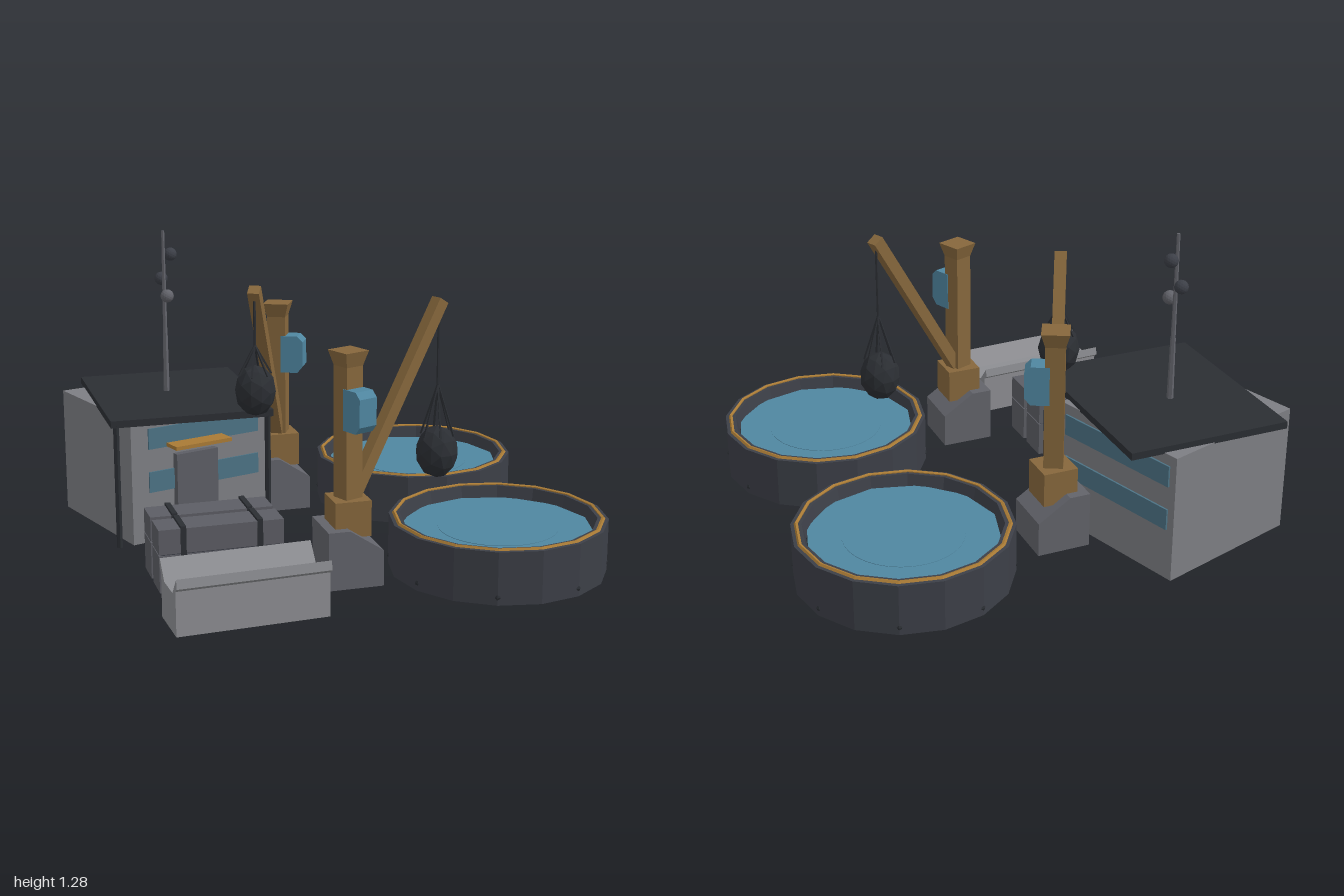
import * as THREE from 'three';

const mat = (color) => new THREE.MeshStandardMaterial({ color, flatShading: true });
const M = {
  dark: mat(0x3c3f47), black: mat(0x2b2e33), wall: mat(0x7d7e83), stone: mat(0x62636a),
  crate: mat(0x5c5d64), pale: mat(0x8d8e92), wood: mat(0x86673c), gold: mat(0xa87a35),
  blue: mat(0x4f86a0), glass: mat(0x4c7284),
};

function add(parent, name, geo, material, x = 0, y = 0, z = 0) {
  const m = new THREE.Mesh(geo, material);
  m.name = name;
  m.position.set(x, y, z);
  parent.add(m);
  return m;
}
const box = (w, h, d) => new THREE.BoxGeometry(w, h, d);
const cyl = (r1, r2, h, n) => new THREE.CylinderGeometry(r1, r2, h, n);

function group(parent, name, x, z, turn = 0) {
  const g = new THREE.Group();
  g.name = name;
  g.position.set(x, 0, z);
  g.rotation.y = turn;
  parent.add(g);
  return g;
}

// Outline extruded along z and centred on it
function prism(points, depth) {
  const shape = new THREE.Shape(points.map(([x, y]) => new THREE.Vector2(x, y)));
  return new THREE.ExtrudeGeometry(shape, { depth, bevelEnabled: false }).translate(0, 0, -depth / 2);
}

// Square bar between two points
function bar(parent, name, a, b, w, material) {
  const p = new THREE.Vector3(...a), q = new THREE.Vector3(...b);
  const m = new THREE.Mesh(box(w, w, p.distanceTo(q)), material);
  m.name = name;
  m.position.copy(p).lerp(q, 0.5);
  m.lookAt(q);
  parent.add(m);
}

function pool(parent, x, z) {
  const g = group(parent, 'pool', x, z);
  const profile = [[0, 0], [0.445, 0], [0.445, 0.215], [0.4, 0.218], [0.385, 0.15]];
  add(g, 'poolWall', new THREE.LatheGeometry(profile.map(([r, y]) => new THREE.Vector2(r, y)), 16), M.dark);
  add(g, 'water', cyl(0.39, 0.39, 0.02, 12), M.blue, 0, 0.16, 0);
  add(g, 'waterCentre', cyl(0.245, 0.245, 0.003, 32), M.blue, 0, 0.1705, 0);
  add(g, 'rimBand', new THREE.TorusGeometry(0.422, 0.009, 5, 16).rotateX(Math.PI / 2).rotateY(0), M.gold, 0, 0.216, 0);
  for (let i = 0; i < 8; i++) {
    const a = ((i + 0.5) / 8) * Math.PI * 2;
    add(g, 'drain', new THREE.SphereGeometry(0.014, 6, 4), M.black, Math.sin(a) * 0.436, 0.032, Math.cos(a) * 0.436);
  }
}

function crane(parent, z, hook, side, bagY, knotY) {
  const g = group(parent, 'crane', -0.087, z);
  // Chamfered footing and pedestal
  add(g, 'footing', prism([[-0.113, 0.013], [0.113, 0.013], [0.113, 0.16], [-0.025, 0.25], [-0.113, 0.25]], 0.225), M.stone);
  add(g, 'pedestal', box(0.148, 0.145, 0.148), M.wood, 0, 0.283, 0);

  // Turning upper part, boom along local z
  const dx = hook[0] + 0.087, dz = hook[1] - z, reach = Math.hypot(dx, dz);
  const top = group(g, 'craneTop', 0, 0, Math.atan2(dx, dz));
  add(top, 'post', box(0.08, 0.56, 0.08), M.wood, 0, 0.63, 0);
  const flare = cyl(0.113 / Math.SQRT2, 0.08 / Math.SQRT2, 0.06, 4).rotateY(Math.PI / 4);
  add(top, 'postCap', flare, M.wood, 0, 0.915, 0);
  bar(top, 'boom', [0, 0.36, 0.025], [0, 1.085, reach + 0.005], 0.05, M.wood);
  const cab = prism([[0, 0.635], [0.075, 0.635], [0.1, 0.665], [0.1, 0.775], [0.075, 0.8], [0, 0.8]], 0.085);
  if (side < 0) cab.rotateY(Math.PI);
  add(top, 'cab', cab, M.blue, side * 0.02, 0, 0);

  // Cable, slings and hanging load
  add(top, 'cable', cyl(0.006, 0.006, 1.08 - knotY, 5), M.black, 0, (1.08 + knotY) / 2, reach);
  for (let i = 0; i < 6; i++) {
    const a = (i / 6) * Math.PI * 2;
    bar(top, 'sling', [0, knotY, reach],
      [Math.sin(a) * 0.07, bagY + 0.07, reach + Math.cos(a) * 0.07], 0.007, M.black);
  }
  const load = add(top, 'load', new THREE.IcosahedronGeometry(1, 1), M.black, 0, bagY, reach);
  load.scale.set(0.088, 0.11, 0.088);
}

function house(parent) {
  const g = group(parent, 'house', -0.604, -0.567, 0.305);
  add(g, 'walls', box(0.66, 0.545, 0.645), M.wall, 0, 0.2725, 0);
  for (const y of [0.265, 0.455]) {
    add(g, 'frontWindow', box(0.54, 0.09, 0.016), M.glass, 0.02, y, 0.322);
    add(g, 'sideWindow', box(0.016, 0.09, 0.58), M.glass, 0.33, y, 0);
  }
  add(g, 'door', box(0.2, 0.375, 0.05), M.crate, -0.03, 0.1875, 0.33);
  add(g, 'awning', box(0.27, 0.016, 0.1), M.gold, -0.03, 0.42, 0.365);
  add(g, 'doorStep', box(0.26, 0.04, 0.19), M.wall, -0.06, 0.02, 0.4);

  // Overhanging roof with its two props
  const r = group(parent, 'roofing', -0.57, -0.498);
  add(r, 'roof', box(0.69, 0.03, 0.825), M.black, 0, 0.555, 0);
  for (const s of [-1, 1]) add(r, 'roofProp', cyl(0.013, 0.013, 0.53, 6), M.black, s * 0.322, 0.285, 0.4);

  // Mast with three beacons
  const m = group(parent, 'mast', -0.59, -0.543);
  add(m, 'mastLower', cyl(0.011, 0.014, 0.27, 6), M.stone, 0, 0.7, 0);
  add(m, 'mastUpper', cyl(0.007, 0.01, 0.46, 6), M.stone, 0, 1.05, 0);
  const balls = [[0.032, 1.175, -0.01, M.dark], [-0.006, 1.067, -0.033, M.dark], [0.006, 1.0, 0.033, M.stone]];
  for (const [x, y, z, c] of balls) add(m, 'beacon', new THREE.IcosahedronGeometry(0.029, 2), c, x, y, z);
}

function crate(parent, z) {
  const g = group(parent, 'crate', -0.582, z);
  add(g, 'crateBody', box(0.5, 0.15, 0.135), M.crate, 0, 0.09, 0);
  add(g, 'crateLid', box(0.5, 0.1, 0.135), M.crate, 0, 0.22, 0);
  add(g, 'crateSeam', box(0.485, 0.03, 0.125), M.dark, 0, 0.165, 0);
  for (const x of [-0.153, 0.153]) add(g, 'strap', box(0.022, 0.268, 0.145), M.black, x, 0.146, 0);
}

export function createModel() {
  const root = new THREE.Group();
  root.name = 'harbourYard';

  pool(root, 0.553, -0.497);
  pool(root, 0.553, 0.517);
  crane(root, -0.512, [-0.3, -0.095], 1, 0.655, 0.85);
  crane(root, 0.517, [0.35, 0.342], -1, 0.455, 0.74);
  house(root);
  crate(root, 0.226);
  crate(root, 0.393);

  // Open trough with flared lips
  const half = [[0.105, 0.01], [0.105, 0.185], [0.125, 0.2], [0.12, 0.237], [0.06, 0.165]];
  const outline = [...half, ...half.map(([x, y]) => [-x, y]).reverse()];
  const t = group(root, 'trough', -0.567, 0.777, 0.05);
  add(t, 'troughBody', prism(outline, 0.593).rotateY(Math.PI / 2), M.pale);
  return root;
}
